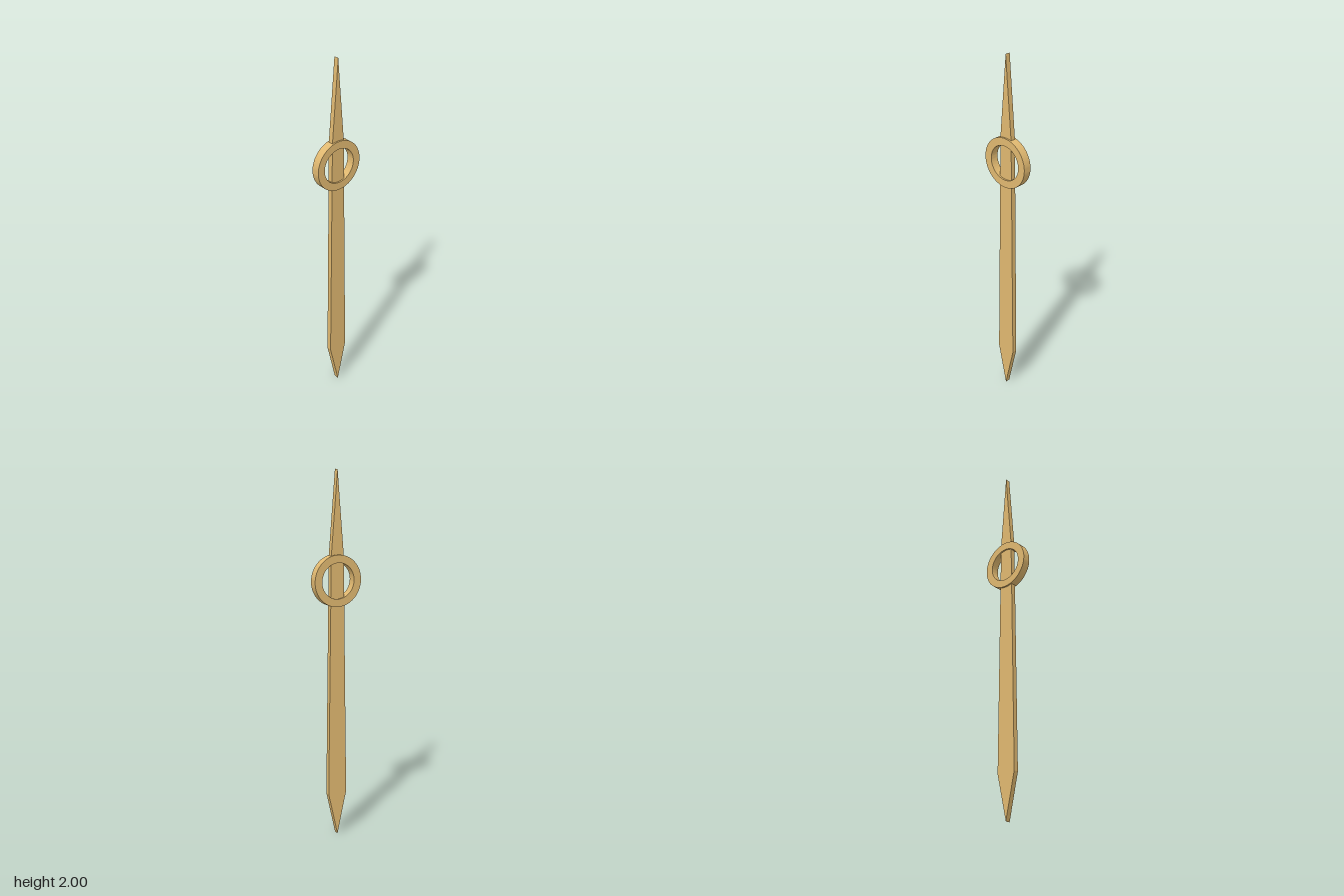
import * as THREE from 'three';
import { toCreasedNormals } from 'three/addons/utils/BufferGeometryUtils.js';

// Extrude a shape so that it is centred on z = 0
function slab(shape, depth, curveSegments = 12) {
  const geometry = new THREE.ExtrudeGeometry(shape, { depth, bevelEnabled: false, curveSegments });
  return geometry.translate(0, 0, -depth / 2);
}

export function createModel() {
  const group = new THREE.Group();
  group.name = 'watchHand';
  const material = new THREE.MeshStandardMaterial({ color: 0xe0b870 });

  // Long tapered hand: short point below, slim point above
  const half = [[0.055, 0.245], [0.037, 1.56]];
  const outline = [[0, 0], ...half, [0, 2], ...half.map(([x, y]) => [-x, y]).reverse()];
  const handShape = new THREE.Shape(outline.map(([x, y]) => new THREE.Vector2(x, y)));
  const hand = new THREE.Mesh(slab(handShape, 0.028), material);
  hand.name = 'hand';
  group.add(hand);

  // Thicker flat ring around the upper part of the hand
  const ringShape = new THREE.Shape().absarc(0, 0, 0.137, 0, Math.PI * 2, false);
  ringShape.holes.push(new THREE.Path().absarc(0, 0, 0.095, 0, Math.PI * 2, true));
  const ring = new THREE.Mesh(toCreasedNormals(slab(ringShape, 0.046, 48), Math.PI / 6), material);
  ring.name = 'ring';
  ring.position.y = 1.428;
  group.add(ring);

  return group;
}
